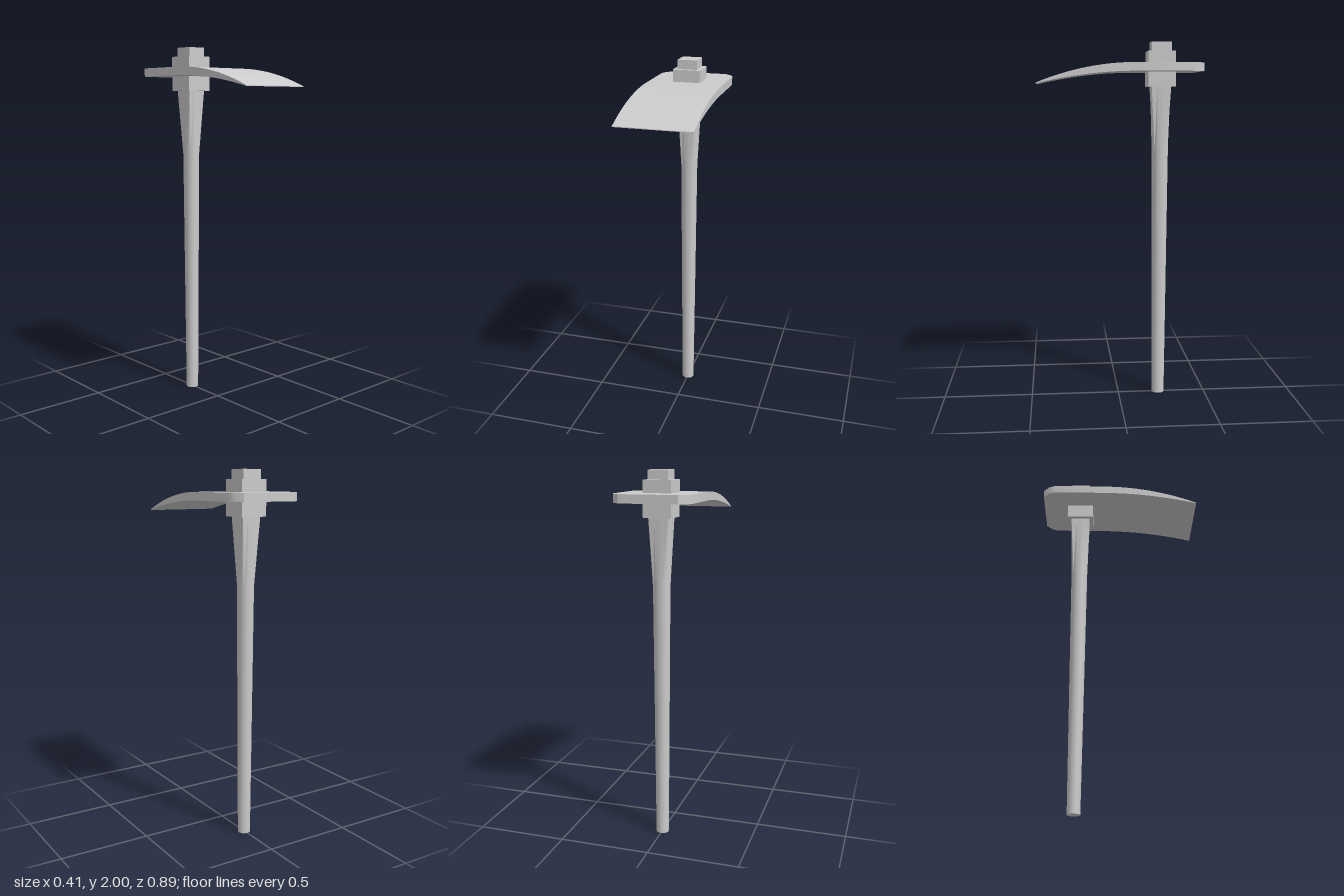
import * as THREE from 'three';
import { toCreasedNormals } from 'three/addons/utils/BufferGeometryUtils.js';

const material = new THREE.MeshStandardMaterial({ color: 0xcccccc });
const HANDLE_Z = -0.232;

// Skins a row of equal-sized convex rings and caps both ends
function loft(rings, crease) {
  const n = rings[0].length, index = [];
  rings.slice(1).forEach((_, r) => {
    for (let i = 0; i < n; i++) {
      const a = r * n + i, b = r * n + (i + 1) % n;
      index.push(a, a + n, b, b, a + n, b + n);
    }
  });
  const end = (rings.length - 1) * n;
  for (let i = 1; i < n - 1; i++) {
    index.push(0, i, i + 1, end, end + i + 1, end + i);
  }
  const geometry = new THREE.BufferGeometry();
  geometry.setAttribute('position', new THREE.Float32BufferAttribute(rings.flat(2), 3));
  geometry.setIndex(index);
  return toCreasedNormals(geometry, crease);
}

function add(group, name, geometry, y = 0, z = 0) {
  const mesh = new THREE.Mesh(geometry, material);
  mesh.name = name;
  mesh.position.set(0, y, z);
  group.add(mesh);
}

// Handle ring: square = 0 is round, square = 1 is a full square
function handleRing(y, radius, square) {
  const sides = 16;
  return Array.from({ length: sides }, (_, i) => {
    const a = (i / sides) * Math.PI * 2, c = Math.cos(a), s = Math.sin(a);
    const stretch = THREE.MathUtils.lerp(1, 1 / Math.max(Math.abs(c), Math.abs(s)), square);
    return [c * radius * stretch, y, s * radius * stretch];
  });
}

// Blade section: flat at the back, curving down and thinning to the front edge
function bladeRing(z, halfWidth) {
  const t = Math.max(0, (z + 0.1) / 0.547);
  const top = 1.885 - 0.107 * t ** 2.1;
  const bottom = 1.84 - 0.066 * t ** 2;
  return [[halfWidth, top, z], [halfWidth, bottom, z], [-halfWidth, bottom, z], [-halfWidth, top, z]];
}

export function createModel() {
  const group = new THREE.Group();
  group.name = 'hoe';

  // Tapered handle, round below and square at the head
  const handle = loft([
    handleRing(0, 0.035, 0),
    handleRing(1.4, 0.046, 0),
    handleRing(1.77, 0.054, 1),
  ], 0.5);
  add(group, 'handle', handle, 0, HANDLE_Z);

  // Square handle end passing through the collar
  add(group, 'handleEnd', new THREE.BoxGeometry(0.108, 0.24, 0.108), 1.88, HANDLE_Z);
  add(group, 'collar', new THREE.BoxGeometry(0.15, 0.19, 0.15), 1.855, HANDLE_Z);

  // Blade with clipped back corners
  const rings = [bladeRing(-0.447, 0.155), bladeRing(-0.415, 0.19), bladeRing(-0.38, 0.205)];
  const steps = 14;
  for (let i = 0; i <= steps; i++) rings.push(bladeRing(-0.1 + (0.547 * i) / steps, 0.205));
  add(group, 'blade', loft(rings, 0.6));

  return group;
}
